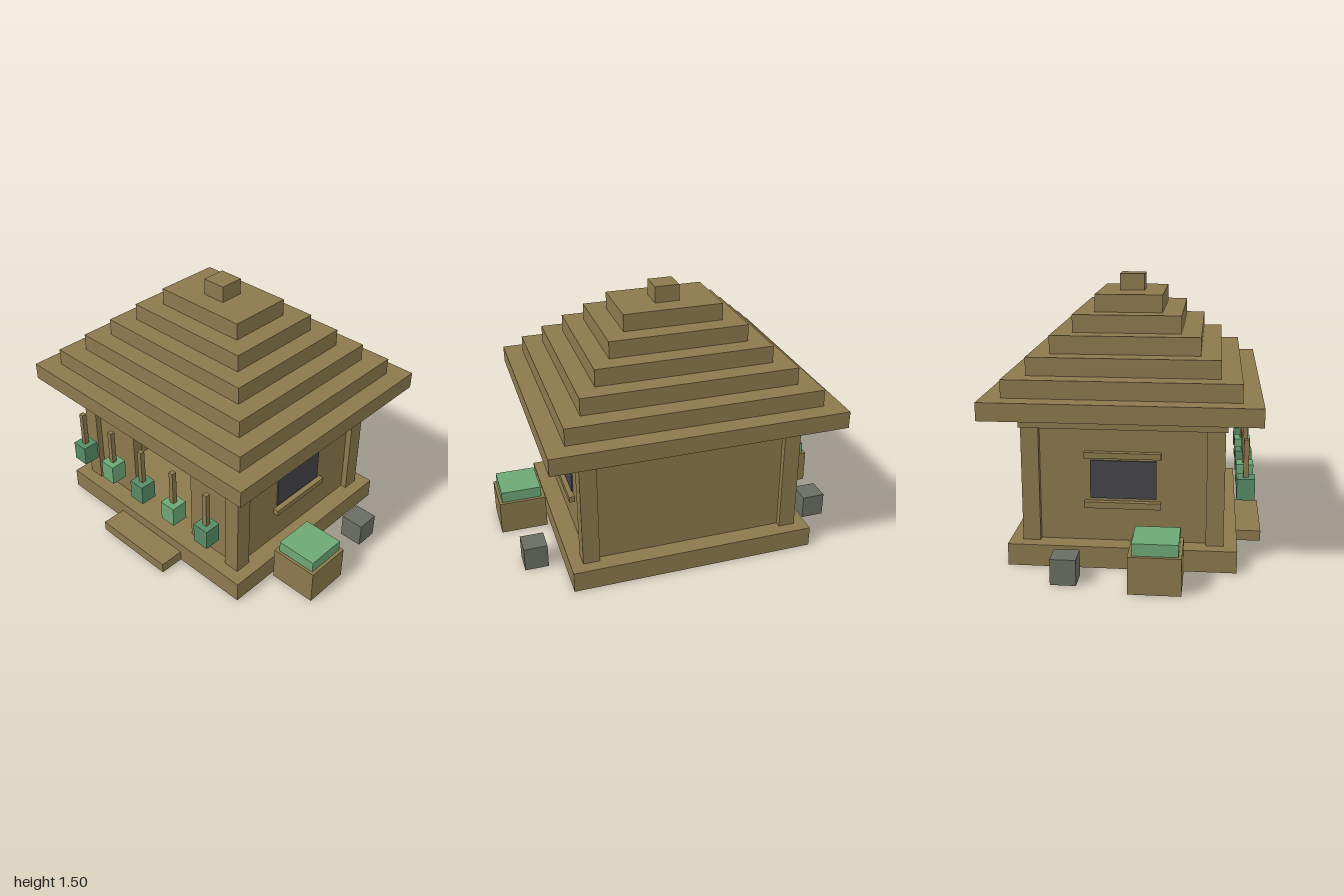
import * as THREE from 'three';

export function createModel() {
  const model = new THREE.Group();
  model.name = 'steppedRoofHut';

  const material = (name, color) => {
    const m = new THREE.MeshStandardMaterial({ color });
    m.name = name;
    return m;
  };
  const wood = material('brown wood', 0x8c794d);
  const leaf = material('light green', 0x6ea875);
  const jade = material('dark green', 0x568c66);
  const glass = material('dark window', 0x45454b);
  const stone = material('grey stone', 0x6a6e61);

  // Adds a box from its x, y and z extents
  const box = (name, mat, x0, x1, y0, y1, z0, z1) => {
    const mesh = new THREE.Mesh(new THREE.BoxGeometry(x1 - x0, y1 - y0, z1 - z0), mat);
    mesh.position.set((x0 + x1) / 2, (y0 + y1) / 2, (z0 + z1) / 2);
    mesh.name = name;
    model.add(mesh);
  };
  // Adds the same box on the left (+x) and right (-x)
  const pair = (name, mat, x0, x1, ...rest) => {
    box(name + 'Left', mat, x0, x1, ...rest);
    box(name + 'Right', mat, -x1, -x0, ...rest);
  };

  const cz = -0.015; // middle of the building in z

  // Platform and front step
  box('platform', wood, -0.705, 0.705, 0, 0.12, -0.625, 0.597);
  box('frontStep', wood, -0.255, 0.255, 0, 0.06, 0.597, 0.74);

  // Corner posts
  pair('frontPost', wood, 0.54, 0.635, 0.12, 0.75, 0.43, 0.525);
  pair('backPost', wood, 0.54, 0.635, 0.12, 0.75, -0.555, -0.46);

  // Walls set back from the post faces, with an open doorway in front
  box('backWall', wood, -0.54, 0.54, 0.12, 0.75, -0.52, -0.46);
  pair('sideWall', wood, 0.54, 0.6, 0.12, 0.75, -0.46, 0.43);
  pair('frontWall', wood, 0.24, 0.54, 0.12, 0.75, 0.43, 0.49);
  box('doorLintel', wood, -0.24, 0.24, 0.59, 0.75, 0.43, 0.49);

  // Side windows with head and sill strips
  pair('windowPane', glass, 0.6, 0.608, 0.36, 0.57, -0.19, 0.165);
  pair('windowHead', wood, 0.6, 0.632, 0.588, 0.62, -0.22, 0.19);
  pair('windowSill', wood, 0.6, 0.632, 0.31, 0.345, -0.22, 0.19);

  // Beam under the eaves
  box('eavesBeam', wood, -0.645, 0.645, 0.75, 0.83, -0.565, 0.535);

  // Stepped roof: half width, half depth, top height
  const tiers = [
    [0.82, 0.725, 0.925], [0.715, 0.62, 1.022], [0.607, 0.51, 1.12], [0.5, 0.402, 1.218],
    [0.393, 0.295, 1.315], [0.283, 0.186, 1.412], [0.07, 0.07, 1.505],
  ];
  let base = 0.828;
  tiers.forEach(([hx, hz, top], i) => {
    const name = i === tiers.length - 1 ? 'roofCap' : 'roofTier' + (i + 1);
    box(name, wood, -hx, hx, base, top, cz - hz, cz + hz);
    base = top;
  });

  // Row of hanging lanterns across the front
  for (let i = 0; i < 5; i++) {
    const x = (i - 2) * 0.255, z = 0.637;
    box('lantern' + (i + 1), i % 2 ? leaf : jade, x - 0.048, x + 0.048, 0.355, 0.472, z - 0.048, z + 0.048);
    box('lanternRod' + (i + 1), wood, x - 0.014, x + 0.014, 0.472, 0.68, z - 0.014, z + 0.014);
  }

  // Planters and stones at the sides
  pair('planter', wood, 0.725, 1, 0, 0.2, 0.047, 0.318);
  pair('planterLeaves', leaf, 0.748, 0.982, 0.2, 0.265, 0.066, 0.302);
  pair('stoneBlock', stone, 0.795, 0.93, 0, 0.14, -0.357, -0.222);

  return model;
}
